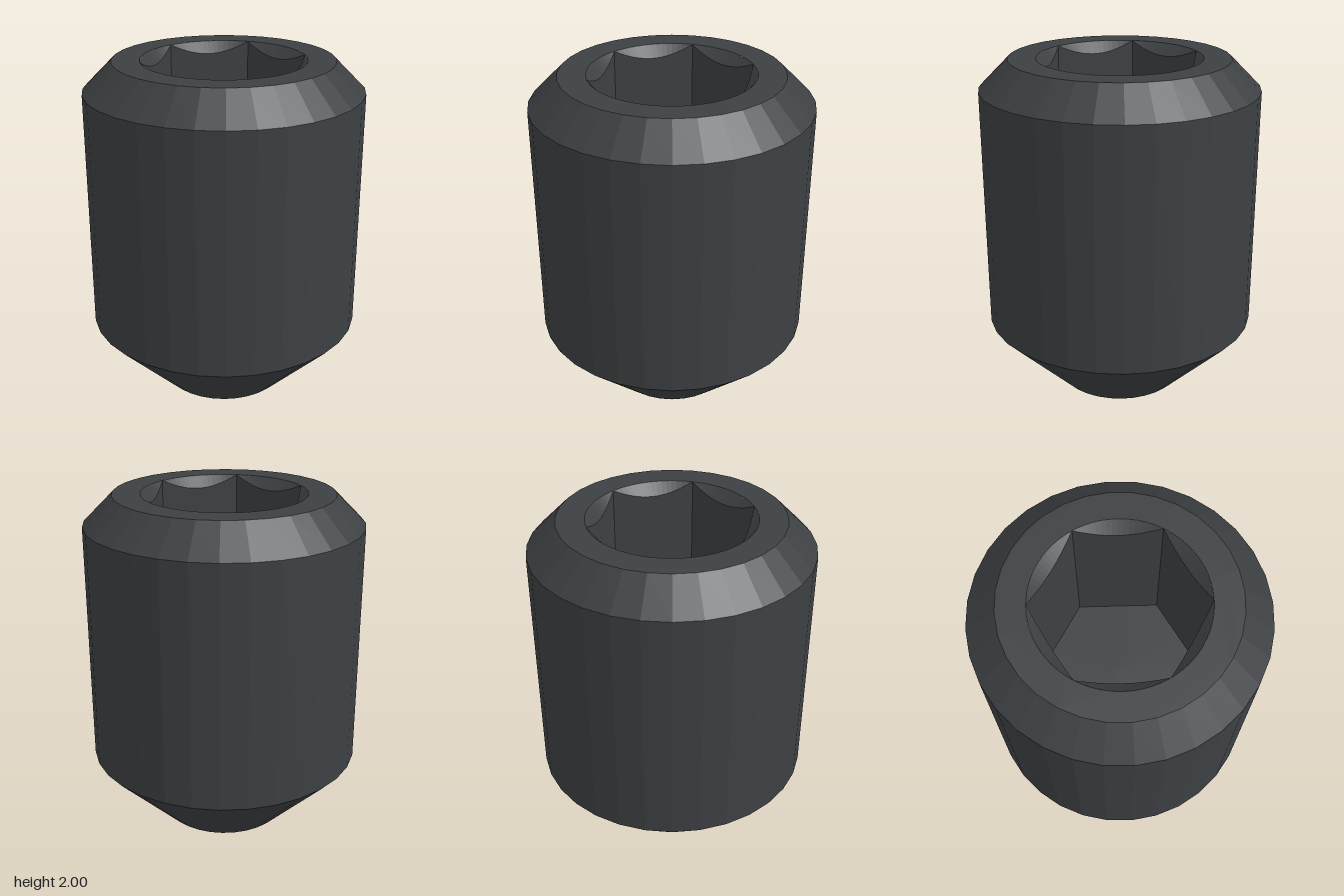
import * as THREE from 'three';

const SIDES = 32;       // facets around the body
const RIM = 0.47;       // socket mouth radius = hexagon corner radius
const TOP = 0.628;      // outer radius of the top face
const FLOOR = 1.04;     // height of the socket floor

// Hexagon socket with a 45 degree countersink that scallops its flats
function socketGeometry(steps = 96) {
  const apothem = RIM * Math.cos(Math.PI / 6);
  const section = (i) => {
    const a = (i / steps) * Math.PI * 2;
    const fromFlat = (a % (Math.PI / 3)) - Math.PI / 6;
    const r = i % (steps / 6) === 0 ? RIM : apothem / Math.cos(fromFlat);
    const at = (radius, y) => [Math.cos(a) * radius, y, Math.sin(a) * radius];
    return [at(RIM, 2), at(r, 2 - (RIM - r)), at(r, FLOOR), at(0, FLOOR)];
  };
  const pos = [];
  for (let i = 0; i < steps; i++) {
    const p = section(i), q = section(i + 1);
    for (let k = 0; k < 3; k++) {
      pos.push(...p[k], ...p[k + 1], ...q[k]);
      if (k < 2) pos.push(...q[k], ...p[k + 1], ...q[k + 1]);
    }
  }
  const g = new THREE.BufferGeometry();
  g.setAttribute('position', new THREE.Float32BufferAttribute(pos, 3));
  g.computeVertexNormals();
  return g;
}

export function createModel() {
  const group = new THREE.Group();
  group.name = 'setScrew';
  const material = new THREE.MeshStandardMaterial({ color: 0x3d4043, flatShading: true });
  const add = (name, geometry) => {
    const mesh = new THREE.Mesh(geometry, material);
    mesh.name = name;
    group.add(mesh);
  };

  // Cup point, tapered tip, cylindrical shank and top chamfer
  const profile = [[0, 0.215], [0.373, 0], [0.797, 0.43], [0.797, 1.831], [TOP, 2]];
  add('body', new THREE.LatheGeometry(profile.map(([r, y]) => new THREE.Vector2(r, y)), SIDES));

  // Flat top face around the socket mouth
  const ring = new THREE.Shape();
  for (let i = 0; i < SIDES; i++) {
    const a = (i / SIDES) * Math.PI * 2;
    ring[i ? 'lineTo' : 'moveTo'](Math.cos(a) * TOP, Math.sin(a) * TOP);
  }
  ring.closePath();
  ring.holes.push(new THREE.Path().absarc(0, 0, RIM, 0, Math.PI * 2, true));
  add('topFace', new THREE.ShapeGeometry(ring, 96).rotateX(-Math.PI / 2).translate(0, 2, 0));

  add('hexSocket', socketGeometry());
  return group;
}
